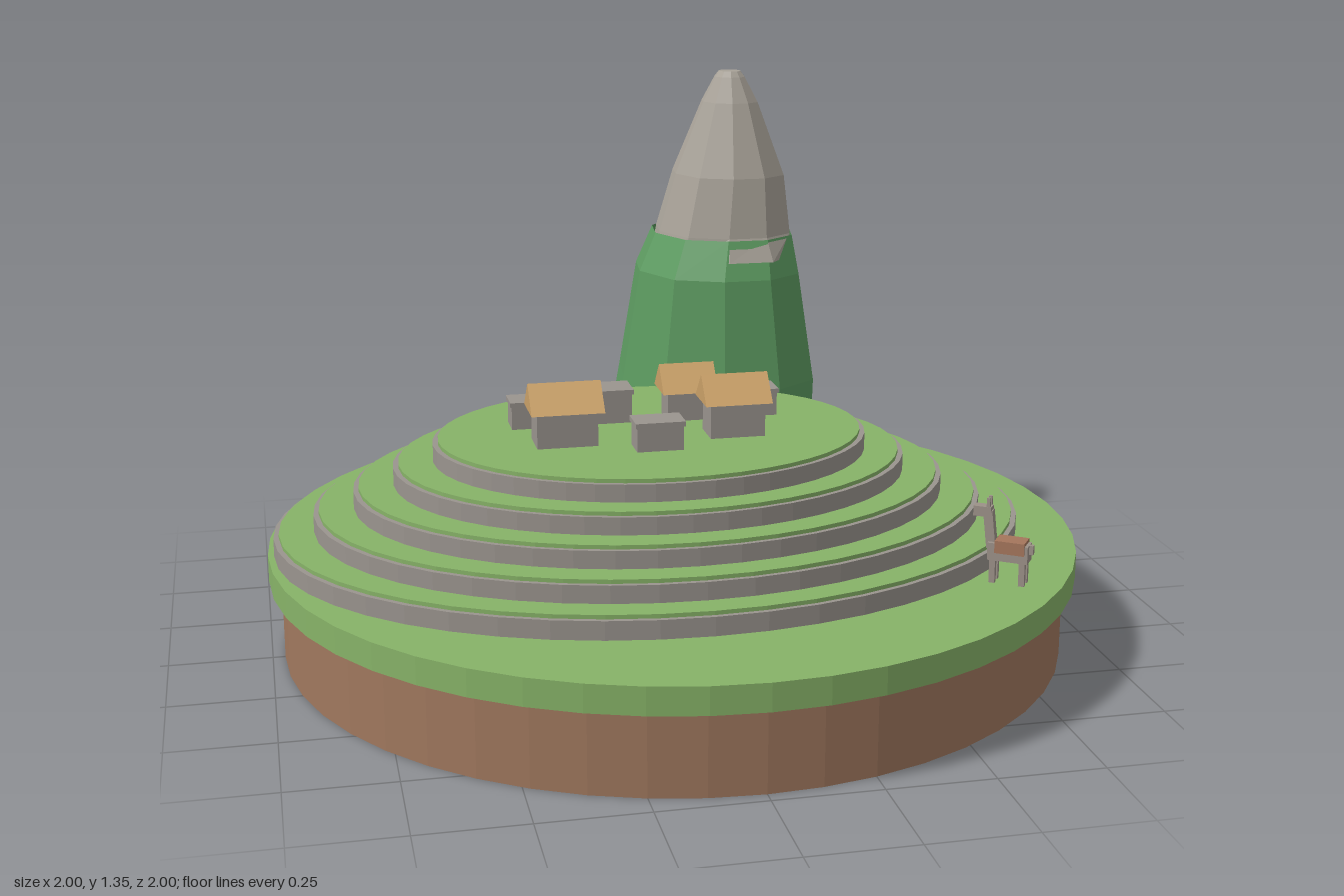
import * as THREE from 'three';

const material = (name, color, extra = {}) => {
  const m = new THREE.MeshStandardMaterial({ color, flatShading: true, ...extra });
  m.name = name;
  return m;
};

export function createModel() {
  const root = new THREE.Group();
  const soil = material('soil', 0xa0785e);
  const grass = material('grass', 0x87b368);
  const stone = material('stone', 0x9a948e);
  const rock = material('rock', 0xa8a298, { side: THREE.DoubleSide });
  const forest = material('forest', 0x5c9a60, { side: THREE.DoubleSide });
  const thatch = material('thatch', 0xcaa168);
  const wool = material('wool', 0x9c9188);
  const blanket = material('blanket', 0xa5765c);

  const add = (parent, name, geometry, mat, x = 0, y = 0, z = 0) => {
    const mesh = new THREE.Mesh(geometry, mat);
    mesh.name = name;
    mesh.position.set(x, y, z);
    parent.add(mesh);
    return mesh;
  };
  const group = (name) => {
    const g = new THREE.Group();
    g.name = name;
    root.add(g);
    return g;
  };
  const disc = (r, h) => new THREE.CylinderGeometry(r, r, h, 48);

  // Round island base
  add(root, 'soilBase', disc(0.97, 0.2), soil, 0, 0.1, 0);
  add(root, 'grassDisc', disc(1, 0.066), grass, 0, 0.232, 0);

  // Five oval terraces: stone wall with a slightly inset grass top
  const terraces = group('terraces');
  for (let i = 0; i < 5; i++) {
    const rx = 0.928 - i * 0.0975, rz = 0.72 - i * 0.076, y = 0.265 + i * 0.0525;
    const wall = add(terraces, 'terraceWall', disc(1, 0.045), stone, -0.057, y + 0.0225, 0.01);
    wall.scale.set(rx, 1, rz);
    const top = add(terraces, 'terraceGrass', disc(1, 0.0105), grass, -0.057, y + 0.0495, 0.01);
    top.scale.set(rx - 0.013, 1, rz - 0.011);
  }

  // Mountain: an uneven footprint, scaled and shifted at each level
  const foot = [[-0.05, -0.70], [0.016, -0.78], [0.155, -0.82], [0.315, -0.79], [0.433, -0.71], [0.49, -0.53],
    [0.46, -0.37], [0.337, -0.28], [0.176, -0.28], [0.016, -0.35], [-0.07, -0.53]];
  const n = foot.length;
  // level: [y, centre x, centre z, scale, optional scale per corner]
  const loft = (levels, capped) => {
    const pos = [], index = [];
    for (const [y, cx, cz, s, uneven] of levels) {
      foot.forEach(([x, z], i) => {
        const k = s * (uneven ? uneven[i] : 1);
        pos.push(cx + (x - 0.21) * k, y, cz + (z + 0.547) * k);
      });
    }
    for (let r = 0; r < levels.length - 1; r++) {
      for (let i = 0; i < n; i++) {
        const j = (i + 1) % n, a = r * n + i, b = r * n + j;
        index.push(a, a + n, b, b, a + n, b + n);
      }
    }
    if (capped) {
      const last = levels[levels.length - 1], c = pos.length / 3, o = c - n;
      pos.push(last[1], last[0], last[2]);
      for (let i = 0; i < n; i++) index.push(c, o + (i + 1) % n, o + i);
    }
    const g = new THREE.BufferGeometry();
    g.setAttribute('position', new THREE.Float32BufferAttribute(pos, 3));
    g.setIndex(index);
    g.computeVertexNormals();
    return g;
  };
  const mountain = group('mountain');
  add(mountain, 'forestSlope', loft([
    [0.26, 0.21, -0.547, 1], [0.53, 0.235, -0.533, 0.93],
    [0.82, 0.235, -0.523, 0.77], [0.92, 0.25, -0.533, 0.66],
  ]), forest);
  const ragged = [0.97, 1, 0.96, 1, 1.07, 0.97, 0.95, 1.08, 1.07, 0.95, 0.98];
  add(mountain, 'rockPeak', loft([
    [0.865, 0.25, -0.528, 0.68, ragged], [0.925, 0.252, -0.528, 0.63],
    [1.08, 0.264, -0.52, 0.52], [1.27, 0.266, -0.515, 0.26],
    [1.335, 0.265, -0.513, 0.14], [1.35, 0.265, -0.513, 0.1],
  ], true), rock);

  // Roofless stone huts with a thin top course: [x, z, width, depth, height]
  const village = group('village');
  const ground = 0.525;
  for (const [x, z, w, d, h] of [[-0.348, -0.088, 0.09, 0.074, 0.072], [-0.167, -0.1, 0.155, 0.085, 0.088],
    [0.237, -0.088, 0.09, 0.074, 0.072], [-0.07, 0.165, 0.114, 0.074, 0.074]]) {
    add(village, 'hutWall', new THREE.BoxGeometry(w, h, d), stone, x, ground + h / 2, z);
    add(village, 'hutTopCourse', new THREE.BoxGeometry(w + 0.008, 0.012, d + 0.008), stone, x, ground + h - 0.004, z);
  }

  // Thatched houses, ridge along x: [x, z, roof width, roof depth, wall height]
  for (const [x, z, w, d, h] of [[-0.282, 0.08, 0.178, 0.128, 0.09],
    [0.138, 0.082, 0.166, 0.122, 0.09], [0.055, -0.087, 0.14, 0.116, 0.078]]) {
    add(village, 'houseWall', new THREE.BoxGeometry(w - 0.03, h, d - 0.032), stone, x, ground + h / 2, z);
    const gable = new THREE.Shape([new THREE.Vector2(-d / 2, 0), new THREE.Vector2(d / 2, 0), new THREE.Vector2(0, 0.066)]);
    const roof = new THREE.ExtrudeGeometry(gable, { depth: w, bevelEnabled: false });
    roof.translate(0, 0, -w / 2).rotateY(Math.PI / 2);
    add(village, 'thatchRoof', roof, thatch, x, ground + h, z);
  }

  // Pack animal, built facing its own +x
  const animal = group('packAnimal');
  animal.position.set(0.683, 0.265, 0.54);
  animal.rotation.y = 2.53;
  const box = (name, w, h, d, mat, x, y, z) => add(animal, name, new THREE.BoxGeometry(w, h, d), mat, x, y, z);
  box('body', 0.095, 0.042, 0.042, wool, -0.005, 0.076, 0);
  box('blanket', 0.07, 0.03, 0.05, blanket, -0.01, 0.09, 0);
  box('neck', 0.022, 0.09, 0.022, wool, 0.042, 0.125, 0).rotation.z = -0.12;
  box('head', 0.042, 0.024, 0.026, wool, 0.06, 0.168, 0);
  box('tail', 0.012, 0.022, 0.012, wool, -0.056, 0.086, 0);
  for (const s of [-1, 1]) {
    box('ear', 0.008, 0.024, 0.007, wool, 0.046, 0.19, s * 0.009);
    for (const x of [-0.04, 0.03]) box('leg', 0.014, 0.06, 0.013, wool, x, 0.03, s * 0.014);
  }
  return root;
}
